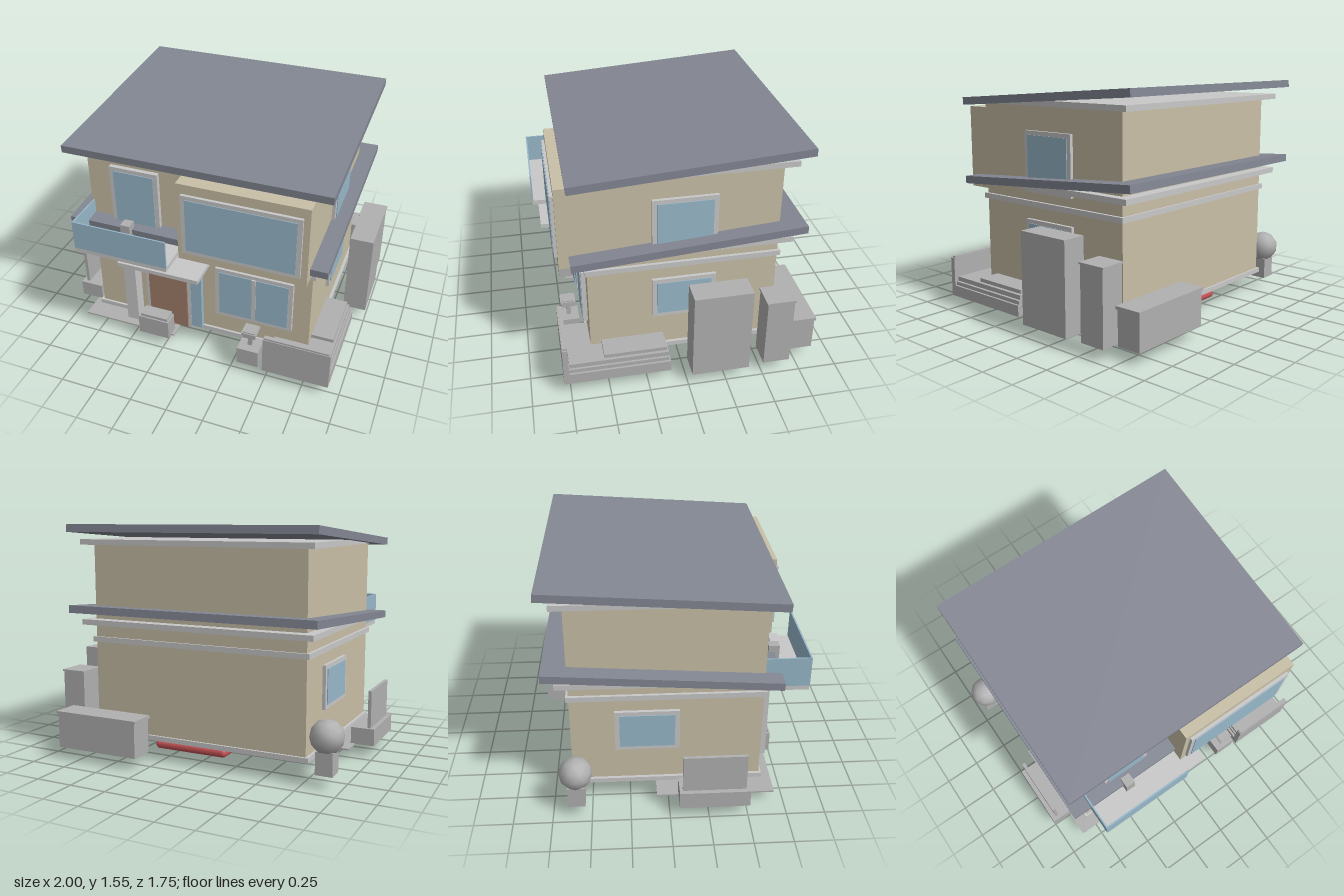
import * as THREE from 'three';
import { RoundedBoxGeometry } from 'three/addons/geometries/RoundedBoxGeometry.js';

const mat = (name, color) => {
  const m = new THREE.MeshStandardMaterial({ color });
  m.name = name;
  return m;
};

export function createModel() {
  const house = new THREE.Group();
  house.name = 'house';
  const wall = mat('sand wall', 0xc8bfa6);
  const roofMat = mat('slate roof', 0x838793);
  const trim = mat('pale trim', 0xc8c8c8);
  const stone = mat('grey stone', 0xb0b0b0);
  const glass = mat('blue glass', 0x98b8ca);
  const wood = mat('brown door', 0x9f7d69);
  const red = mat('red paint', 0xc85457);

  const add = (name, geo, material, x = 0, y = 0, z = 0) => {
    const m = new THREE.Mesh(geo, material);
    m.name = name;
    m.position.set(x, y, z);
    house.add(m);
    return m;
  };
  // Box given by its extents along each axis
  const box = (name, material, x0, x1, y0, y1, z0, z1) =>
    add(name, new THREE.BoxGeometry(x1 - x0, y1 - y0, z1 - z0), material,
      (x0 + x1) / 2, (y0 + y1) / 2, (z0 + z1) / 2);

  // Walls of both storeys and the projecting upper bay
  box('lowerWalls', wall, -0.77, 0.74, 0.14, 0.8, -0.62, 0.595);
  box('upperWalls', wall, -0.77, 0.74, 0.8, 1.44, -0.62, 0.595);
  box('upperBay', wall, -0.09, 0.74, 0.84, 1.39, 0.59, 0.76);

  // Horizontal trim bands
  box('baseBand', trim, -0.79, 0.76, 0.143, 0.175, -0.635, 0.61);
  box('middleBand', trim, -0.79, 0.76, 0.775, 0.81, -0.635, 0.61);
  for (const y of [0.895, 1.425]) box('eavesBand', trim, -0.835, 0.8, y, y + 0.036, -0.695, 0.59);

  // Two sloping roof slabs
  for (const y of [0.953, 1.483]) {
    const slab = add('roofSlab', new THREE.BoxGeometry(1.735, 0.05, 1.468), roofMat, -0.018, y, -0.037);
    slab.rotation.x = THREE.MathUtils.degToRad(4);
  }

  // Front windows: frame with a thin pane
  const frontWindow = (x0, x1, y0, y1, z, depth) => {
    box('windowFrame', trim, x0, x1, y0, y1, z - 0.01, z + depth);
    box('windowPane', glass, x0 + 0.029, x1 - 0.029, y0 + 0.027, y1 - 0.027, z + depth, z + depth + 0.005);
  };
  frontWindow(-0.605, -0.275, 0.88, 1.325, 0.595, 0.03);
  frontWindow(-0.055, 0.7, 0.905, 1.325, 0.76, 0.02);
  frontWindow(0.1, 0.625, 0.325, 0.71, 0.595, 0.03);
  box('windowMullion', trim, 0.354, 0.38, 0.35, 0.685, 0.62, 0.636);

  // Side windows
  const sideWindow = (side, wallX, y0, y1, z0, z1) => {
    const span = (a, b) => [wallX + side * a, wallX + side * b].sort((p, q) => p - q);
    box('sideWindowFrame', trim, ...span(-0.01, 0.022), y0, y1, z0, z1);
    box('sideWindowPane', glass, ...span(0.022, 0.027), y0 + 0.027, y1 - 0.027, z0 + 0.03, z1 - 0.03);
  };
  sideWindow(1, 0.74, 0.87, 1.265, -0.22, 0.19);
  sideWindow(1, 0.74, 0.405, 0.69, -0.22, 0.19);
  sideWindow(-1, -0.77, 0.405, 0.69, -0.34, 0.07);

  // Entrance: door, side light, canopy and column
  box('doorFrame', trim, -0.405, -0.08, 0.14, 0.695, 0.585, 0.62);
  box('door', wood, -0.38, -0.105, 0.14, 0.67, 0.62, 0.63);
  box('sideLight', glass, -0.075, 0, 0.165, 0.65, 0.59, 0.63);
  box('porchCanopy', trim, -0.49, 0.065, 0.722, 0.75, 0.59, 0.835);
  box('porchColumn', trim, -0.54, -0.455, 0.14, 0.8, 0.595, 0.68);

  // Balcony open on its right-hand end
  box('balconyFloor', trim, -0.76, -0.125, 0.8, 0.832, 0.59, 0.875);
  box('balconyFrontGlass', glass, -0.762, -0.123, 0.83, 1.027, 0.868, 0.878);
  box('balconySideGlass', glass, -0.762, -0.752, 0.83, 1.027, 0.595, 0.87);
  box('balconyBox', stone, -0.505, -0.44, 0.83, 0.97, 0.66, 0.73);

  // Paving, underfloor pieces and the rounded red body below the house
  box('paving', stone, -0.87, -0.19, 0.078, 0.088, -0.08, 0.685);
  box('footing', trim, -0.675, -0.56, 0.085, 0.145, 0.36, 0.47);
  box('centreFooting', trim, -0.09, 0.06, 0.005, 0.092, -0.085, 0.065);
  add('redBody', new RoundedBoxGeometry(0.52, 0.06, 1.16, 3, 0.028), red, 0.035, 0.115, -0.04);
  for (const z of [-0.265, -0.48]) box('smallFooting', trim, 0.46, 0.54, 0.085, 0.142, z - 0.04, z + 0.04);
  for (const [x, z] of [[0.3, -0.01], [0.5, -0.02]]) {
    const pebble = add('pebble', new THREE.IcosahedronGeometry(0.08, 1), stone, x, 0.11, z);
    pebble.scale.set(1, 0.38, 0.75);
  }
  for (let i = 0; i < 4; i++)
    add('stalk', new THREE.CylinderGeometry(0.002, 0.002, 0.06, 4), stone, 0.1 + i * 0.024, 0.075, 0.02 - (i % 3) * 0.03);

  // Round shrub in a pot
  box('shrubPot', stone, -0.95, -0.84, 0.085, 0.23, -0.65, -0.54);
  const shrub = new THREE.IcosahedronGeometry(0.109, 1);
  add('shrub', shrub, stone, -0.895, 0.315, -0.595);

  // Long planter with an upright board
  box('sidePlanter', stone, -1, -0.84, 0.085, 0.2, 0.06, 0.51);
  box('planterBoard', stone, -0.97, -0.948, 0.19, 0.455, 0.08, 0.485);

  // Pot beside the door
  box('doorPot', stone, -0.43, -0.21, 0.085, 0.225, 0.62, 0.73);
  box('doorPotRim', stone, -0.415, -0.222, 0.225, 0.245, 0.63, 0.72);

  // Post with a head on a base
  box('postBase', stone, 0.305, 0.45, 0.085, 0.21, 0.64, 0.775);
  box('post', stone, 0.362, 0.39, 0.21, 0.3, 0.69, 0.72);
  box('postHead', stone, 0.335, 0.42, 0.295, 0.345, 0.665, 0.75);
  box('postCap', stone, 0.327, 0.428, 0.325, 0.337, 0.657, 0.758);

  // Corner bench with a front screen
  box('benchBase', stone, 0.485, 0.93, 0.085, 0.16, 0.1, 0.785);
  box('benchStep', stone, 0.5, 0.915, 0.16, 0.185, 0.11, 0.76);
  box('benchRail', stone, 0.51, 0.905, 0.19, 0.22, 0.11, 0.75);
  box('benchSeat', stone, 0.6, 0.89, 0.225, 0.25, 0.12, 0.525);
  box('benchScreen', stone, 0.485, 0.93, 0.085, 0.355, 0.755, 0.79);
  box('benchScreenCap', stone, 0.49, 0.92, 0.35, 0.367, 0.757, 0.785);

  // Cabinets along the side and back
  box('tallCabinet', stone, 0.84, 1, 0.085, 0.685, -0.4, -0.025);
  box('slimCabinet', stone, 0.815, 0.98, 0.085, 0.56, -0.68, -0.505);
  box('slimCabinetLid', stone, 0.81, 0.985, 0.56, 0.572, -0.687, -0.498);
  box('backChest', stone, 0.29, 0.885, 0.085, 0.312, -0.87, -0.708);
  box('backChestLid', stone, 0.28, 0.895, 0.312, 0.332, -0.877, -0.7);

  return house;
}
